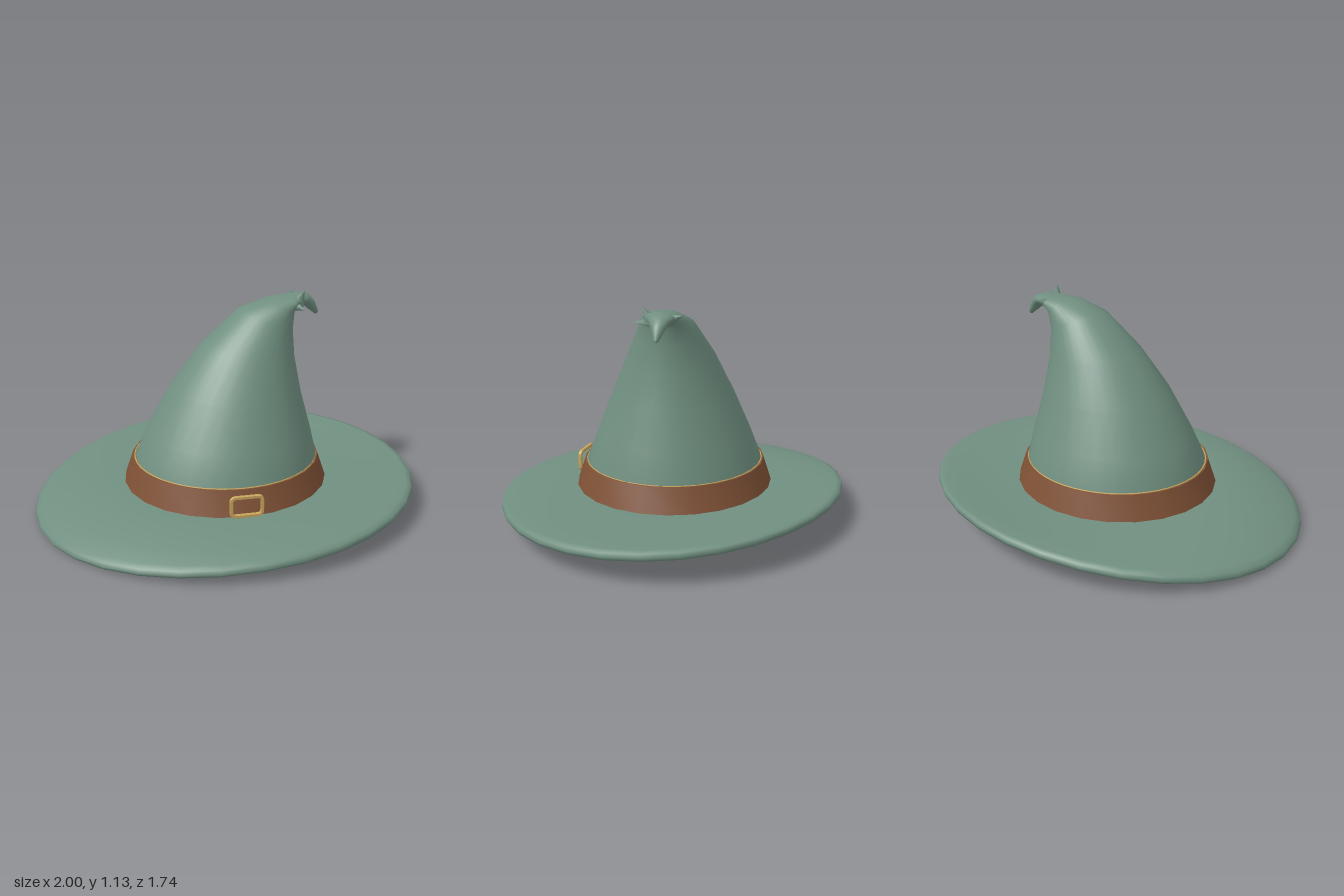
import * as THREE from 'three';
import { toCreasedNormals } from 'three/addons/utils/BufferGeometryUtils.js';

const SEG = 32;

// Skin a list of closed rings; each ring is a function angle -> [x, y, z]
function loft(rings) {
  const pos = [], idx = [];
  rings.forEach((ring, j) => {
    for (let i = 0; i < SEG; i++) {
      pos.push(...ring((i / SEG) * Math.PI * 2));
      if (j === rings.length - 1) continue;
      const a = j * SEG + i, b = j * SEG + ((i + 1) % SEG);
      idx.push(a, a + SEG, b, b, a + SEG, b + SEG);
    }
  });
  const g = new THREE.BufferGeometry();
  g.setAttribute('position', new THREE.Float32BufferAttribute(pos, 3));
  g.setIndex(idx);
  g.computeVertexNormals();
  return g;
}

// Tilted oval ring from its left point, right point, half depth and depth centre
const ovalRing = ([lx, ly, rx, ry, hz, cz]) => (t) => {
  const k = (1 + Math.cos(t)) / 2;
  return [lx + (rx - lx) * k, ly + (ry - ly) * k, cz + hz * Math.sin(t)];
};

// Brim ring: s runs from the opening (0) to the rim (1), h offsets the height
const brimRing = ([s, h]) => (t) => {
  const edge = 0.11 + 0.06 * Math.cos(t) - 0.04 * Math.sin(t) - 0.02 * Math.cos(2 * t);
  const y = 0.145 + (edge - 0.145) * s * s + h;
  return [(0.475 + 0.525 * s) * Math.cos(t), y, (0.452 + 0.418 * s) * Math.sin(t)];
};

function roundedRect(path, w, h, r) {
  const x = w / 2, y = h / 2;
  path.moveTo(-x + r, -y);
  path.lineTo(x - r, -y);
  path.quadraticCurveTo(x, -y, x, -y + r);
  path.lineTo(x, y - r);
  path.quadraticCurveTo(x, y, x - r, y);
  path.lineTo(-x + r, y);
  path.quadraticCurveTo(-x, y, -x, y - r);
  path.lineTo(-x, -y + r);
  path.quadraticCurveTo(-x, -y, -x + r, -y);
  return path;
}

export function createModel() {
  const hat = new THREE.Group();
  hat.name = 'pointedHat';

  const material = (name, color, side = THREE.FrontSide) => {
    const m = new THREE.MeshStandardMaterial({ color, side });
    m.name = name;
    return m;
  };
  const felt = material('greenFelt', 0x708f80, THREE.DoubleSide);
  const leather = material('brownLeather', 0x7f5136, THREE.DoubleSide);
  const brass = material('brass', 0xc8a45a);

  const add = (name, geometry, mat) => {
    const mesh = new THREE.Mesh(geometry, mat);
    mesh.name = name;
    hat.add(mesh);
    return mesh;
  };

  // Wide drooping brim: underside, rounded rim, upper side, inner wall
  add('brim', loft([
    [0, -0.02], [0.04, -0.028], [0.25, -0.026], [0.5, -0.026], [0.75, -0.027], [0.93, -0.027],
    [0.985, -0.016], [1, 0], [0.985, 0.018], [0.93, 0.026],
    [0.75, 0.026], [0.5, 0.024], [0.25, 0.022], [0.04, 0.02], [0, 0.015], [0, -0.02],
  ].map(brimRing)), felt);

  // Crown leaning to one side
  add('crown', loft([
    [-0.5, 0.15, 0.5, 0.15, 0.475, 0],
    [-0.47, 0.29, 0.477, 0.29, 0.45, 0],
    [-0.41, 0.43, 0.445, 0.43, 0.395, -0.005],
    [-0.28, 0.66, 0.395, 0.62, 0.31, -0.01],
    [-0.12, 0.87, 0.362, 0.8, 0.225, -0.02],
    [0.08, 1.05, 0.355, 0.94, 0.148, -0.03],
    [0.24, 1.1, 0.363, 1.02, 0.11, -0.04],
    [0.35, 1.105, 0.375, 1.05, 0.085, -0.05],
  ].map(ovalRing)), felt);

  // Crumpled tip bending over and down
  add('tip', loft([
    [0.34, 1.105, 0.37, 1.045, 0.088, -0.05],
    [0.4, 1.115, 0.4, 1.055, 0.072, -0.06],
    [0.455, 1.098, 0.425, 1.045, 0.048, -0.07],
    [0.485, 1.06, 0.452, 1.02, 0.03, -0.075],
    [0.508, 1.005, 0.488, 0.992, 0.012, -0.078],
    [0.5, 0.99, 0.5, 0.99, 0, -0.078],
  ].map(ovalRing)), felt);

  // Small pinched folds beside the tip: [base, point, radius]
  for (const [base, point, r] of [
    [[0.38, 1.07, -0.01], [0.4, 1.138, 0.022], 0.035],
    [[0.36, 1.06, -0.02], [0.385, 1.055, 0.08], 0.03],
    [[0.36, 1.07, -0.09], [0.385, 1.1, -0.17], 0.035],
  ]) {
    const a = new THREE.Vector3(...base), dir = new THREE.Vector3(...point).sub(a);
    const len = dir.length();
    const fold = add('tipFold', new THREE.ConeGeometry(r, len, 6).translate(0, len / 2, 0), felt);
    fold.position.copy(a);
    fold.quaternion.setFromUnitVectors(new THREE.Vector3(0, 1, 0), dir.normalize());
  }

  // Leather band around the crown and its lining inside
  const bandPoints = [[0.532, 0.16], [0.487, 0.29], [0.465, 0.29]].map((p) => new THREE.Vector2(...p));
  const band = add('band', toCreasedNormals(new THREE.LatheGeometry(bandPoints, 24), 0.6), leather);
  band.scale.z = 0.95;
  const liningPoints = [[0.484, 0.16], [0.463, 0.25]].map((p) => new THREE.Vector2(...p));
  add('bandLining', new THREE.LatheGeometry(liningPoints, 24), leather).scale.z = 0.95;

  // Thin brass trim where the crown leaves the band
  const trim = add('bandTrim', new THREE.TorusGeometry(0.474, 0.004, 6, 48).rotateX(Math.PI / 2), brass);
  trim.position.y = 0.29;
  trim.scale.z = 0.95;

  // Open buckle frame on the front
  const frame = roundedRect(new THREE.Shape(), 0.165, 0.11, 0.028);
  frame.holes.push(roundedRect(new THREE.Path(), 0.14, 0.085, 0.018));
  const buckle = add('buckle', new THREE.ExtrudeGeometry(frame, {
    depth: 0.012, bevelEnabled: true, bevelThickness: 0.003, bevelSize: 0.002, bevelSegments: 1, curveSegments: 5,
  }), brass);
  buckle.position.set(0, 0.223, 0.501);

  return hat;
}
